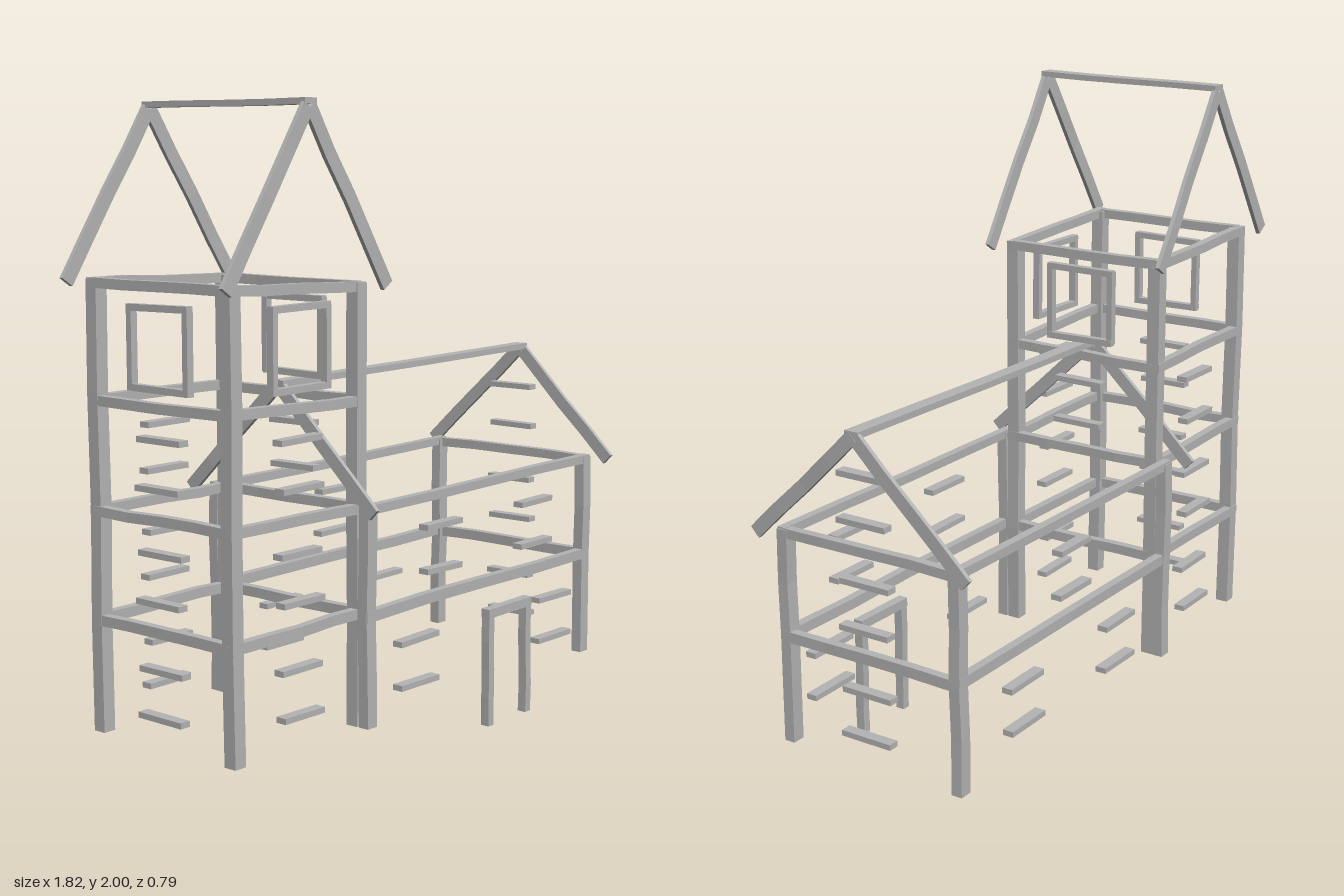
import * as THREE from 'three';

export function createModel() {
  const model = new THREE.Group();
  const timber = new THREE.MeshStandardMaterial({ color: 0xb4b4b4, flatShading: true });
  timber.name = 'grey timber';

  let seed = 7;
  const wobble = (amount) => {
    seed = (seed * 16807) % 2147483647;
    return (seed / 2147483647 - 0.5) * 2 * amount;
  };

  const group = (name) => {
    const g = new THREE.Group();
    g.name = name;
    model.add(g);
    return g;
  };

  // Rough-hewn timber from a to b: w is the level thickness, h the other one
  function bar(parent, name, a, b, w, h, rough = 0.003) {
    const start = new THREE.Vector3(...a), end = new THREE.Vector3(...b);
    const length = start.distanceTo(end), steps = length > 0.3 ? 4 : 1;
    const geo = new THREE.BoxGeometry(w, h, length, 1, 1, steps);
    const p = geo.attributes.position;
    const shift = Array.from({ length: steps + 1 }, () => [wobble(rough), wobble(rough)]);
    for (let i = 0; i < p.count; i++) {
      const [dx, dy] = shift[Math.round((p.getZ(i) / length + 0.5) * steps)];
      p.setX(i, p.getX(i) + dx);
      p.setY(i, p.getY(i) + dy);
    }
    geo.computeVertexNormals();
    const mesh = new THREE.Mesh(geo, timber);
    mesh.name = name;
    mesh.position.copy(start).add(end).multiplyScalar(0.5);
    if (Math.abs(end.y - start.y) > length * 0.999) mesh.up.set(0, 0, 1);
    mesh.lookAt(end);
    parent.add(mesh);
  }

  // Tower frame: four posts and four rings of beams
  const L = -0.832, R = -0.298, F = 0.265, B = -0.272;
  const tower = group('towerFrame');
  for (const x of [L, R]) for (const z of [F, B])
    bar(tower, 'towerPost', [x, 0.13, z], [x, x === L ? 1.485 : 1.47, z], 0.043, 0.043);
  for (const [yl, yr, h] of [[1.475, 1.46, 0.03], [1.132, 1.122, 0.03], [0.802, 0.798, 0.03], [0.475, 0.475, 0.032]]) {
    for (const z of [F + 0.008, B - 0.01]) bar(tower, 'towerBeam', [L - 0.02, yl, z], [R + 0.02, yr, z], 0.028, h);
    for (const [x, y] of [[L - 0.008, yl], [R + 0.008, yr]])
      bar(tower, 'towerSideBeam', [x, y, B], [x, y, F], 0.028, h);
  }

  // Hall frame
  const E = 0.848, HF = 0.31, HB = -0.311;
  const hall = group('hallFrame');
  for (const z of [HF, HB]) {
    for (const x of [R, E])
      bar(hall, 'hallPost', [x, 0.13, z], [x, x === E ? 0.815 : 0.805, z], 0.043, 0.036);
    bar(hall, 'eavesBeam', [R - 0.02, 0.796, z], [E + 0.02, 0.807, z], 0.028, 0.028);
    bar(hall, 'floorBeam', [R - 0.02, 0.474, z], [E + 0.02, 0.477, z], 0.028, 0.034);
  }
  bar(hall, 'endEavesBeam', [E + 0.008, 0.805, HB], [E + 0.008, 0.805, HF], 0.028, 0.03);
  bar(hall, 'endFloorBeam', [E + 0.008, 0.475, HB], [E + 0.008, 0.475, HF], 0.028, 0.034);

  // Tower roof: ridge along z and two pairs of rafters
  const towerRoof = group('towerRoof');
  bar(towerRoof, 'towerRidge', [-0.557, 1.989, -0.338], [-0.557, 1.989, 0.318], 0.05, 0.018, 0.002);
  for (const z of [0.309, -0.331]) {
    bar(towerRoof, 'towerRafterLeft', [-0.553, 1.975, z], [-0.212, 1.46, z], 0.014, 0.045, 0.002);
    bar(towerRoof, 'towerRafterRight', [-0.561, 1.975, z], [-0.896, 1.476, z], 0.014, 0.045, 0.002);
  }

  // Hall roof: ridge along x and a pair of rafters at each end
  const hallRoof = group('hallRoof');
  bar(hallRoof, 'hallRidge', [-0.36, 1.156, 0.005], [0.91, 1.17, 0.005], 0.046, 0.02, 0.002);
  for (const [x, top] of [[-0.353, 1.155], [0.902, 1.165]]) for (const s of [1, -1])
    bar(hallRoof, 'hallRafter', [x, top, 0], [x, top - 0.36, s * 0.378], 0.014, 0.042, 0.002);

  // Belfry window frames on the front and both sides
  const windows = group('windowFrames');
  for (const [x, z, turn] of [[-0.56, 0.276, 0], [-0.276, -0.003, 1], [-0.842, -0.003, 1]]) {
    const w = new THREE.Group();
    w.name = 'windowFrame';
    w.position.set(x, 1.298, z);
    w.rotation.y = turn * Math.PI / 2;
    for (const s of [1, -1]) {
      bar(w, 'windowRail', [-0.122, s * 0.116, 0], [0.122, s * 0.116, 0], 0.024, 0.02, 0.002);
      bar(w, 'windowJamb', [s * 0.113, -0.12, 0], [s * 0.113, 0.12, 0], 0.02, 0.024, 0.002);
    }
    windows.add(w);
  }

  // Short sills on the tower and on the far gable, every other one standing proud
  const sills = group('sills');
  const rows = [1.035, 0.895, 0.705, 0.565, 0.363, 0.224];
  rows.forEach((y, i) => {
    const proud = i % 2 ? 0.009 : 0;
    for (const z of [0.27 + proud, -0.272 - proud])
      bar(sills, 'towerSill', [-0.65, y, z], [-0.477, y, z], 0.036, 0.018, 0.002);
    const sides = [-0.843 - proud, 0.858 + proud];
    if (i < 2) sides.push(-0.287 + proud);
    for (const x of sides)
      bar(sills, 'sideSill', [x, y, -0.085], [x, y, 0.09], 0.036, 0.018, 0.002);
  });

  // Sills along the long walls of the hall: [y, x from, x to]
  const frontSills = [
    [0.705, -0.045, 0.13], [0.705, 0.455, 0.625], [0.565, -0.045, 0.13], [0.565, 0.45, 0.625],
    [0.363, -0.17, 0.015], [0.363, 0.56, 0.745], [0.224, -0.17, 0.015], [0.224, 0.56, 0.75],
  ];
  const backSills = [
    [0.705, 0.195, 0.355], [0.565, 0.185, 0.36],
    [0.363, -0.085, 0.092], [0.363, 0.45, 0.625], [0.224, -0.085, 0.095], [0.224, 0.445, 0.62],
  ];
  for (const [z, list] of [[0.322, frontSills], [-0.32, backSills]]) for (const [y, x0, x1] of list)
    bar(sills, 'hallSill', [x0, y, z], [x1, y, z], 0.036, 0.018, 0.002);

  // Door frame
  const door = group('doorFrame');
  for (const x of [0.287, 0.493]) bar(door, 'doorPost', [x, 0, 0.327], [x, 0.37, 0.327], 0.028, 0.03, 0.002);
  bar(door, 'doorLintel', [0.273, 0.374, 0.327], [0.508, 0.374, 0.327], 0.032, 0.03, 0.002);

  return model;
}
